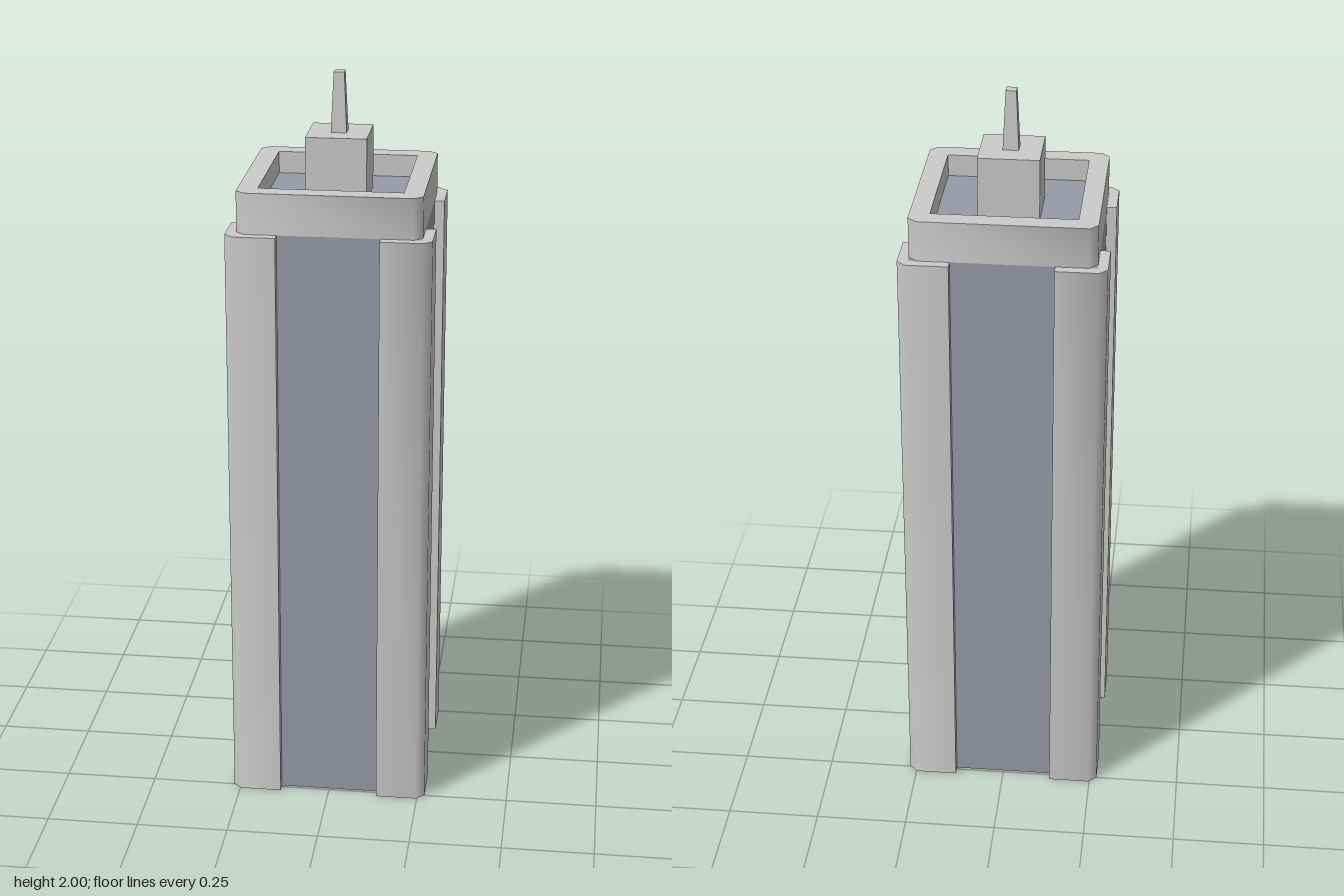
import * as THREE from 'three';
import { toCreasedNormals } from 'three/addons/utils/BufferGeometryUtils.js';

const grey = new THREE.MeshStandardMaterial({ color: 0xcccccc });
const glass = new THREE.MeshStandardMaterial({ color: 0x989ba8 });

const CORE = 0.243, OUTER = 0.27, CHAMFER = 0.022;
const SHAFT_TOP = 1.62, BAND_TOP = 1.73, ROOF_Y = 1.67;

// Extrude a plan outline upwards; chamfered corners shade smoothly, square ones stay sharp
function extrudeUp(points, y0, y1, hole) {
  const toVecs = (list) => list.map(([x, y]) => new THREE.Vector2(x, y));
  const shape = new THREE.Shape(toVecs(points));
  if (hole) shape.holes.push(new THREE.Path(toVecs(hole)));
  const geo = new THREE.ExtrudeGeometry(shape, { depth: y1 - y0, bevelEnabled: false });
  geo.rotateX(-Math.PI / 2);
  geo.translate(0, y0, 0);
  return toCreasedNormals(geo, 0.9);
}

function square(half, cut = 0) {
  const h = half, k = half - cut;
  return cut
    ? [[k, -h], [h, -k], [h, k], [k, h], [-k, h], [-h, k], [-h, -k], [-k, -h]]
    : [[h, -h], [h, h], [-h, h], [-h, -h]];
}

export function createModel() {
  const group = new THREE.Group();
  const add = (name, geo, material = grey) => {
    const mesh = new THREE.Mesh(geo, material);
    mesh.name = name;
    group.add(mesh);
    return mesh;
  };
  const box = (half, y0, y1) =>
    new THREE.BoxGeometry(half * 2, y1 - y0, half * 2).translate(0, (y0 + y1) / 2, 0);

  // Glazed shaft with a grey underside
  add('glazedShaft', box(CORE, 0, SHAFT_TOP), [glass, glass, glass, grey, glass, glass]);

  // Four L-shaped corner piers wrapping the shaft
  const inner = 0.135, back = 0.235, k = OUTER - CHAMFER;
  const pier = extrudeUp(
    [[inner, back], [back, back], [back, inner], [OUTER, inner], [OUTER, k], [k, OUTER], [inner, OUTER]],
    0, SHAFT_TOP);
  for (let i = 0; i < 4; i++) add('cornerPier' + (i + 1), pier).rotation.y = i * Math.PI / 2;

  // Parapet ring and the sunken roof inside it
  add('parapet', extrudeUp(square(CORE, CHAMFER), SHAFT_TOP, BAND_TOP, square(0.19)));
  add('roof', box(0.192, SHAFT_TOP - 0.01, ROOF_Y), glass);

  // Rooftop plant block and tapering square mast
  add('roofBlock', box(0.081, ROOF_Y - 0.01, 1.84));
  const mast = new THREE.CylinderGeometry(0.014 * Math.SQRT2, 0.021 * Math.SQRT2, 0.16, 4)
    .rotateY(Math.PI / 4).translate(0, 1.92, 0);
  add('mast', toCreasedNormals(mast, 0.9));

  return group;
}
